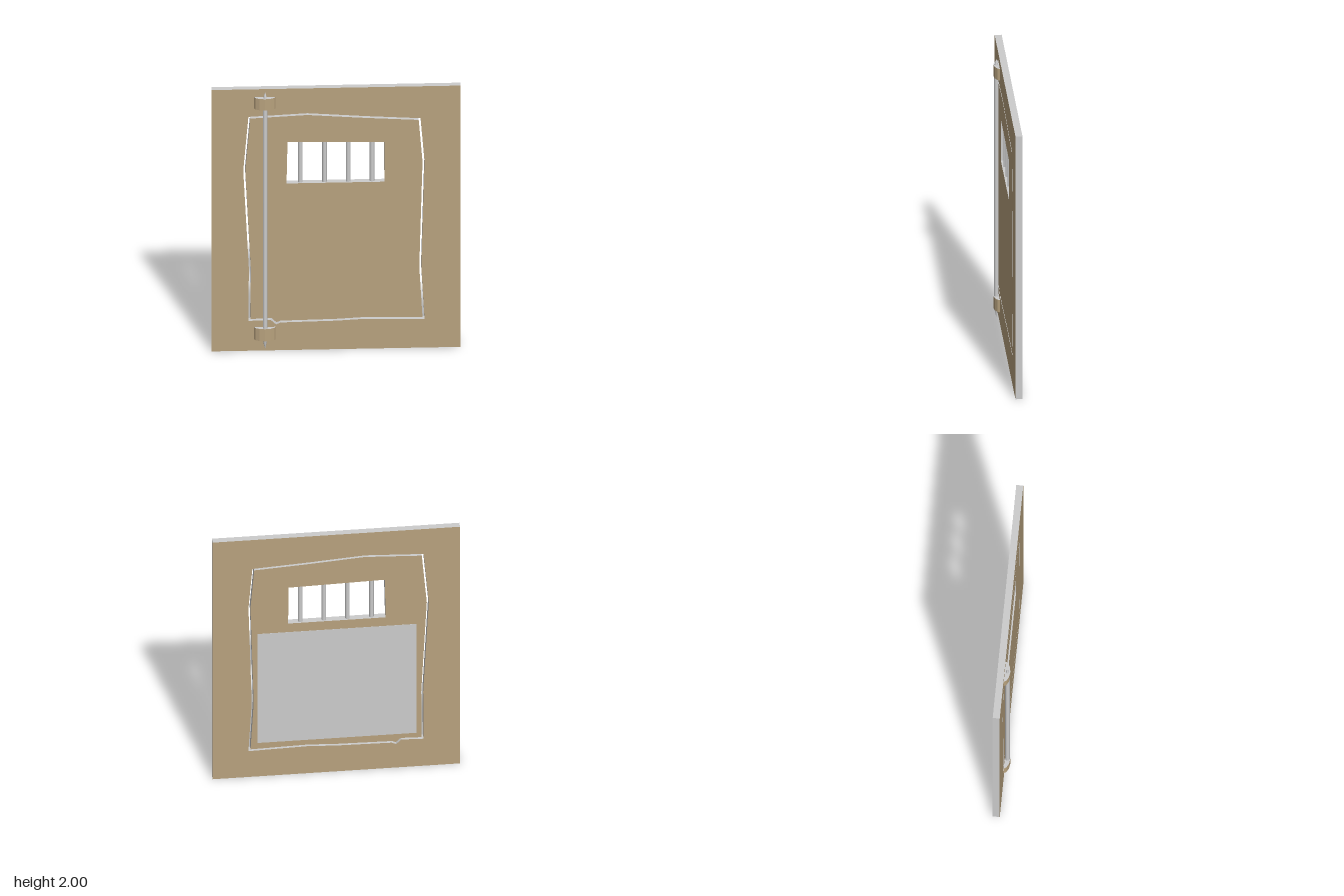
import * as THREE from 'three';

const FRONT = 0.005, BACK = -0.044, DEPTH = FRONT - BACK, ROD_X = -0.495;

export function createModel() {
  const group = new THREE.Group();
  const tan = new THREE.MeshStandardMaterial({ color: 0xb8a27e });
  tan.name = 'tan board';
  const grey = new THREE.MeshStandardMaterial({ color: 0xcccccc });
  grey.name = 'light grey';

  const add = (name, geometry, material, x = 0, y = 0, z = 0) => {
    const mesh = new THREE.Mesh(geometry, material);
    mesh.name = name;
    mesh.position.set(x, y, z);
    group.add(mesh);
  };
  const points = (list) => list.map(([x, y]) => new THREE.Vector2(x, y));
  const extrude = (outline, hole, depth) => {
    const shape = new THREE.Shape(outline);
    if (hole) shape.holes.push(new THREE.Path(hole));
    return new THREE.ExtrudeGeometry(shape, { depth, bevelEnabled: false });
  };
  // Mitred inward offset of a clockwise outline
  const inset = (pts, d) => pts.map((p, i) => {
    const n = pts.length;
    const a = p.clone().sub(pts[(i + n - 1) % n]).normalize();
    const b = pts[(i + 1) % n].clone().sub(p).normalize();
    const na = new THREE.Vector2(a.y, -a.x), nb = new THREE.Vector2(b.y, -b.x);
    const m = na.clone().add(nb).normalize();
    return p.clone().addScaledVector(m, d / m.dot(na));
  });

  // Board with a crooked cut line that frees the door
  const board = points([[-0.865, 0], [0.865, 0], [0.865, 2], [-0.865, 2]]);
  const cut = points([
    [-0.61, 1.79], [-0.2, 1.81], [0.2, 1.78], [0.587, 1.756], [0.615, 1.42], [0.612, 1.34],
    [0.592, 0.62], [0.615, 0.218], [0.2, 0.228], [0, 0.218], [-0.385, 0.212], [-0.418, 0.198],
    [-0.455, 0.233], [-0.61, 0.228], [-0.607, 0.63], [-0.646, 1.38],
  ]);
  const window = points([[-0.345, 1.275], [0.337, 1.275], [0.335, 1.578], [-0.338, 1.593]]);
  add('outerFrame', extrude(board, cut, DEPTH), [tan, grey], 0, 0, BACK);
  add('door', extrude(inset(cut, 0.014), window, DEPTH), [tan, grey], 0, 0, BACK);

  // Window bars
  for (const x of [-0.248, -0.08, 0.085, 0.25]) {
    add('windowBar', new THREE.CylinderGeometry(0.016, 0.016, 0.34, 12), grey,
      x, 1.432, (FRONT + BACK) / 2);
  }

  // Flat panel on the back of the door
  add('backPanel', new THREE.BoxGeometry(1.11, 0.92, 0.002), grey, -0.005, 0.743, BACK - 0.0005);

  // Hinge rod with pointed ends
  const rod = points([[0, 0.02], [0.006, 0.045], [0.015, 0.085], [0.016, 0.1],
    [0.016, 1.9], [0.012, 1.94], [0.007, 1.965], [0, 1.985]]);
  add('hingeRod', new THREE.LatheGeometry(rod, 12), grey, ROD_X, 0, 0.024);

  // Rounded brackets holding the rod
  const bracket = points([[-0.075, 0], [0.075, 0], [0.066, 0.017], [0.038, 0.033],
    [0, 0.039], [-0.038, 0.033], [-0.066, 0.017]]);
  for (const [top, height] of [[1.94, 0.087], [0.18, 0.093]]) {
    const geometry = extrude(bracket, null, height).rotateX(Math.PI / 2);
    add('hingeBracket', geometry, [grey, tan], ROD_X, top, FRONT);
  }
  return group;
}
